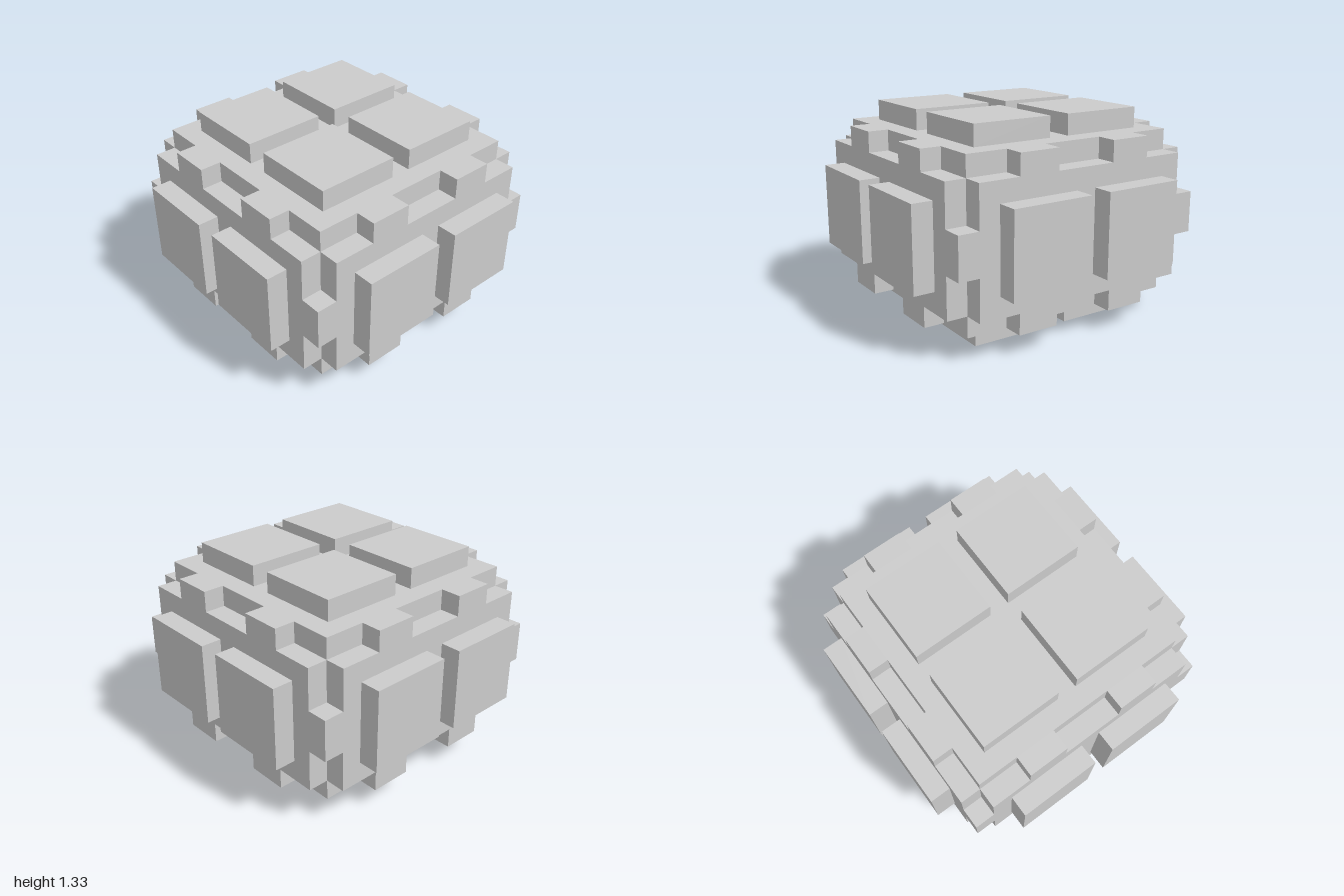
import * as THREE from 'three';

const U = 1 / 15; // modelling unit: the model is 30 x 20 x 30 units
const SIGNS = [-1, 1];

export function createModel() {
  const model = new THREE.Group();
  const material = new THREE.MeshStandardMaterial({ color: 0xcccccc, flatShading: true });

  // Box from its size and centre in units, measured from the middle of the model
  const addBox = (name, [w, h, d], [x, y, z]) => {
    const mesh = new THREE.Mesh(new THREE.BoxGeometry(w * U, h * U, d * U), material);
    mesh.name = name;
    mesh.position.set(x * U, (y + 10) * U, z * U);
    model.add(mesh);
  };

  // Core: three crossing slabs leave a square channel along all twelve edges
  addBox('coreSideToSide', [26, 12, 22], [0, 0, 0]);
  addBox('coreFrontToBack', [22, 12, 26], [0, 0, 0]);
  addBox('coreTopToBottom', [22, 16, 22], [0, 0, 0]);

  for (const a of SIGNS) {
    for (const b of SIGNS) {
      // Edge blocks fill the channels in part, leaving notches at middles and corners
      for (const c of SIGNS) {
        addBox('edgeBlockAlongX', [4, 2, 2], [5 * c, 7 * a, 12 * b]);
        addBox('edgeBlockAlongZ', [2, 2, 4], [12 * b, 7 * a, 5 * c]);
      }
      addBox('uprightEdgeBlock', [2, 4, 2], [12 * a, 0, 12 * b]);

      // Raised pads: two on each side face, four on the top and bottom
      addBox(b > 0 ? 'frontPad' : 'backPad', [8, 8, 2], [5 * a, 0, 14 * b]);
      addBox(b > 0 ? 'leftPad' : 'rightPad', [2, 8, 8], [14 * b, 0, 5 * a]);
      addBox('topPad', [8, 2, 8], [5 * a, 9, 5 * b]);
      addBox('bottomPad', [8, 2, 8], [5 * a, -9, 5 * b]);
    }
  }
  return model;
}
